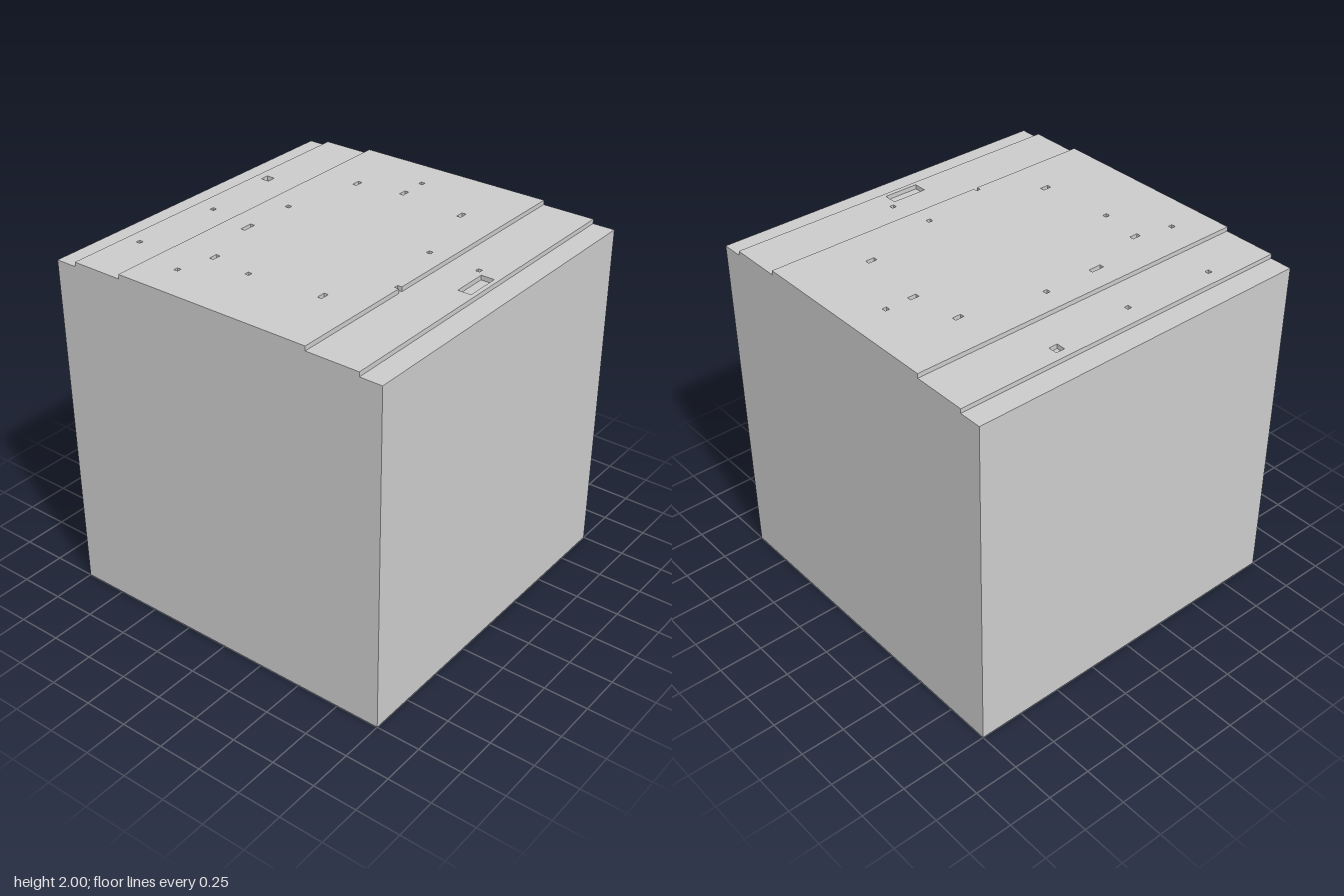
import * as THREE from 'three';

const STEP = 0.025; // height of each terrace and depth of each pit

// pits as [x0, z0, x1, z1]
const terracePits = [
  [-0.825, -0.4, -0.775, -0.35],
  [0.725, -0.15, 0.75, -0.125],
  [0.775, -0.1, 0.85, 0.1],
  [-0.775, 0.1, -0.75, 0.125],
  [-0.8, 0.625, -0.775, 0.65],
];
const plateauPits = [
  [-0.075, -0.8, -0.05, -0.775],
  [-0.075, -0.65, -0.05, -0.6],
  [-0.45, -0.125, -0.425, -0.1],
  [0.45, -0.125, 0.475, -0.1],
  [-0.45, 0.175, -0.425, 0.25],
  [-0.1, 0.6, -0.075, 0.625],
  [-0.4, 0.775, -0.375, 0.8],
];
// mirrored set of four slots
for (const x of [-0.35, 0.325]) {
  for (const z of [-0.6, 0.55]) plateauPits.push([x, z, x + 0.025, z + 0.05]);
}

// Flat layer with rectangular pits; outline is a list of [x, z] corners
function pittedLayer(name, outline, pits, y, material) {
  const toPoints = (list) => list.map(([x, z]) => new THREE.Vector2(x, -z));
  const shape = new THREE.Shape(toPoints(outline));
  for (const [x0, z0, x1, z1] of pits) {
    shape.holes.push(new THREE.Path(toPoints([[x0, z0], [x1, z0], [x1, z1], [x0, z1]])));
  }
  const geometry = new THREE.ExtrudeGeometry(shape, { depth: STEP, bevelEnabled: false });
  geometry.rotateX(-Math.PI / 2);
  const mesh = new THREE.Mesh(geometry, material);
  mesh.name = name;
  mesh.position.y = y;
  return mesh;
}

export function createModel() {
  const group = new THREE.Group();
  group.name = 'steppedBlock';
  const material = new THREE.MeshStandardMaterial({ color: 0xcccccc });

  // Main block
  const height = 2 - 2 * STEP;
  const block = new THREE.Mesh(new THREE.BoxGeometry(2, height, 2), material);
  block.name = 'block';
  block.position.y = height / 2;
  group.add(block);

  // Lower terrace
  const t = 0.875;
  group.add(pittedLayer('terrace', [[-t, 1], [t, 1], [t, -1], [-t, -1]], terracePits, height, material));

  // Upper plateau, with a small notch in its left edge
  const p = 0.575;
  const plateau = [
    [-p, 1], [p, 1], [p, 0.3], [p - 0.025, 0.3], [p - 0.025, 0.275], [p, 0.275], [p, -1], [-p, -1],
  ];
  group.add(pittedLayer('plateau', plateau, plateauPits, height + STEP, material));

  return group;
}
